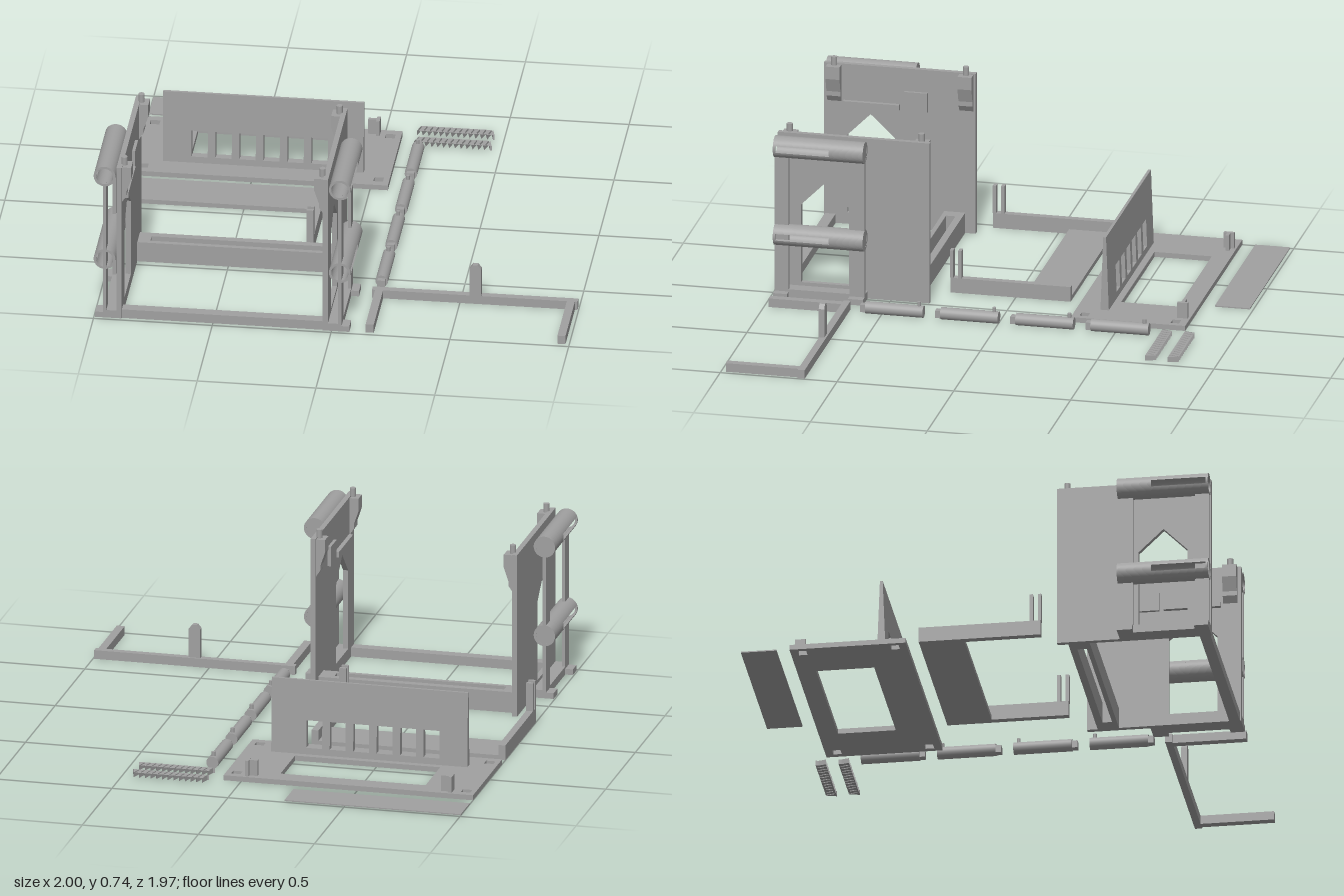
import * as THREE from 'three';

const grey = new THREE.MeshStandardMaterial({ color: 0xa0a0a0 });
grey.name = 'plain grey';

export function createModel() {
  const root = new THREE.Group();
  const add = (name, geo, x = 0, y = 0, z = 0) => {
    const m = new THREE.Mesh(geo, grey);
    m.name = name;
    m.position.set(x, y, z);
    root.add(m);
    return m;
  };
  // Box given by its limits on each axis
  const box = (name, x0, x1, y0, y1, z0, z1) =>
    add(name, new THREE.BoxGeometry(Math.abs(x1 - x0), y1 - y0, z1 - z0), (x0 + x1) / 2, (y0 + y1) / 2, (z0 + z1) / 2);
  const poly = (pts) => new THREE.Shape(pts.map(([a, b]) => new THREE.Vector2(a, b)));
  const rect = (a0, a1, b0, b1) => poly([[a0, b0], [a1, b0], [a1, b1], [a0, b1]]);
  const extrude = (shape, depth, curveSegments = 20) =>
    new THREE.ExtrudeGeometry(shape, { depth, bevelEnabled: false, curveSegments });
  // Shape drawn as (x, -z), lying flat
  const flat = (shape, height) => extrude(shape, height).rotateX(-Math.PI / 2);

  // Thin loose sheet
  box('looseSheet', -1, -0.24, 0, 0.005, -0.985, -0.835);

  // Cover plate with a large window and four corner holes
  const cover = rect(-1, 0.075, 0.29, 0.78);
  cover.holes.push(rect(-0.775, -0.15, 0.455, 0.70));
  for (const x of [-0.96, 0.03]) for (const z of [0.34, 0.73])
    cover.holes.push(rect(x - 0.02, x + 0.02, z - 0.018, z + 0.018));
  add('coverPlate', flat(cover, 0.022));

  // Upright tapered panel with six windows
  const upright = rect(-0.885, -0.04, 0.02, 0.345);
  for (let i = 0; i < 6; i++) {
    const x = -0.73 + i * 0.101;
    upright.holes.push(rect(x - 0.034, x + 0.034, 0.05, 0.17));
  }
  const panel = extrude(upright, 1).translate(0, 0, -0.5);
  const p = panel.attributes.position;
  for (let i = 0; i < p.count; i++)
    p.setZ(i, p.getZ(i) * THREE.MathUtils.lerp(0.036, 0.012, (p.getY(i) - 0.02) / 0.325));
  panel.computeVertexNormals();
  add('windowPanel', panel, 0, 0, -0.409);

  // Tray with two long arms ending in paired prongs
  box('traySheet', -1, -0.165, 0, 0.02, -0.235, 0.045 - 0.09);
  for (const x of [-1, -0.195]) {
    box('trayArm', x, x + 0.03, 0, 0.065, -0.235, 0.28);
    box('trayProng', x, x + 0.03, 0.065, 0.187, 0.232, 0.247);
    box('trayProng', x, x + 0.03, 0.065, 0.187, 0.268, 0.282);
  }

  // Base frame: front bar and slotted rear beam
  box('frontBar', -0.885, -0.035, 0, 0.04, 0.935, 0.98);
  const beam = rect(-0.885, -0.035, -0.47, -0.38);
  beam.holes.push(rect(-0.83, -0.1, -0.45, -0.41));
  add('rearBeam', flat(beam, 0.09));

  // The two mirrored side towers; u is the distance outward from their middle
  const mid = -0.46;
  for (const s of [-1, 1]) {
    const X = (u) => mid + s * u;
    const sideBox = (name, u0, u1, y0, y1, z0, z1) => box(name, X(u0), X(u1), y0, y1, z0, z1);

    const wall = rect(0.335, 0.985, 0, 0.71);
    wall.holes.push(poly([[0.68, 0.05], [0.885, 0.05], [0.885, 0.395], [0.785, 0.495], [0.68, 0.395]]));
    add('sideWall', extrude(wall, 0.022).rotateY(-Math.PI / 2), X(0.434) + 0.011);

    // Outer uprights and feet
    for (const [z0, z1] of [[0.6, 0.665], [0.925, 0.985]]) {
      sideBox('outerStrip', 0.488, 0.502, 0, 0.63, z0, z1);
      sideBox('foot', 0.445, 0.535, 0, 0.025, z0, z1);
    }
    sideBox('outerSill', 0.445, 0.502, 0, 0.035, 0.6, 0.985);

    // Hollow rollers, slotted on the outer side
    for (const y of [0.275, 0.665]) {
      const gap = 0.32;
      for (const [z0, z1, g] of [[0.6, 0.745, 0], [0.745, 0.975, gap], [0.975, 0.985, 0]]) {
        const from = (s > 0 ? 0 : Math.PI) + g, to = from + Math.PI * 2 - 2 * g;
        const ring = new THREE.Shape();
        ring.absarc(0, 0, 0.046, from, to, false);
        if (g) ring.absarc(0, 0, 0.036, to, from, true);
        else ring.holes.push(new THREE.Path().absarc(0, 0, 0.036, 0, Math.PI * 2, true));
        add('slottedTube', extrude(ring, z1 - z0, 32), X(0.495), y, z0);
      }
      add('tubeEnd', new THREE.CylinderGeometry(0.037, 0.037, 0.01, 32).rotateX(Math.PI / 2), X(0.495), y, 0.606);
    }

    // Corner brackets with pins
    const bracket = poly([[0.445, 0.705], [0.385, 0.705], [0.385, 0.65], [0.405, 0.59], [0.405, 0.57], [0.425, 0.54], [0.445, 0.54]]
      .map(([u, y]) => [s * u, y]));
    for (const z of [0.375, 0.94]) {
      add('cornerBracket', extrude(bracket, 0.06), mid, 0, z - 0.03);
      add('bracketPin', new THREE.CylinderGeometry(0.013, 0.013, 0.04, 16), X(0.417), 0.722, z);
    }

    // Inner ledge and latch
    sideBox('innerLedge', 0.405, 0.425, 0.525, 0.55, 0.66, 0.9);
    sideBox('innerLatch', 0.41, 0.425, 0.525, 0.61, 0.54, 0.64);

    // Small clips on the cover plate
    sideBox('coverClip', 0.43, 0.445, 0.02, 0.09, -0.77, -0.725);
    sideBox('coverClipStub', 0.395, 0.43, 0.02, 0.09, -0.755, -0.74);
  }

  // Four small rods, each with a tongue and a peg
  for (let i = 0; i < 4; i++) {
    const z = -0.645 + i * 0.3217;
    add('smallRod', new THREE.CylinderGeometry(0.026, 0.026, 0.247, 24).rotateX(Math.PI / 2), 0.158, 0.026, z + 0.1235);
    box('rodTongue', 0.142, 0.174, 0.008, 0.04, z + 0.247, z + 0.27);
    add('rodPeg', new THREE.CylinderGeometry(0.008, 0.008, 0.03, 12), 0.158, 0.055, z + 0.02);
  }

  // Two flat zigzag springs
  for (const z of [-0.815, -0.718]) {
    const edge = [];
    for (let i = 0; i <= 26; i++) edge.push([0.134 + i * 0.0123, i % 2 ? 0.022 : -0.022]);
    const back = edge.map(([x, y]) => [x + 0.007, y]).reverse();
    add('zigzagSpring', flat(poly([...edge, ...back]), 0.022), 0, 0, z);
  }

  // U-shaped handle with a pointed post
  box('handleBar', 0.13, 0.995, 0, 0.038, 0.64, 0.67);
  for (const x of [0.143, 0.95]) box('handleLeg', x, x + 0.034, 0, 0.038, 0.67, 0.98);
  const post = poly([[0.54, 0.03], [0.59, 0.03], [0.59, 0.163], [0.575, 0.182], [0.555, 0.182], [0.54, 0.163]]);
  add('handlePost', extrude(post, 0.024), 0, 0, 0.648);

  return root;
}
